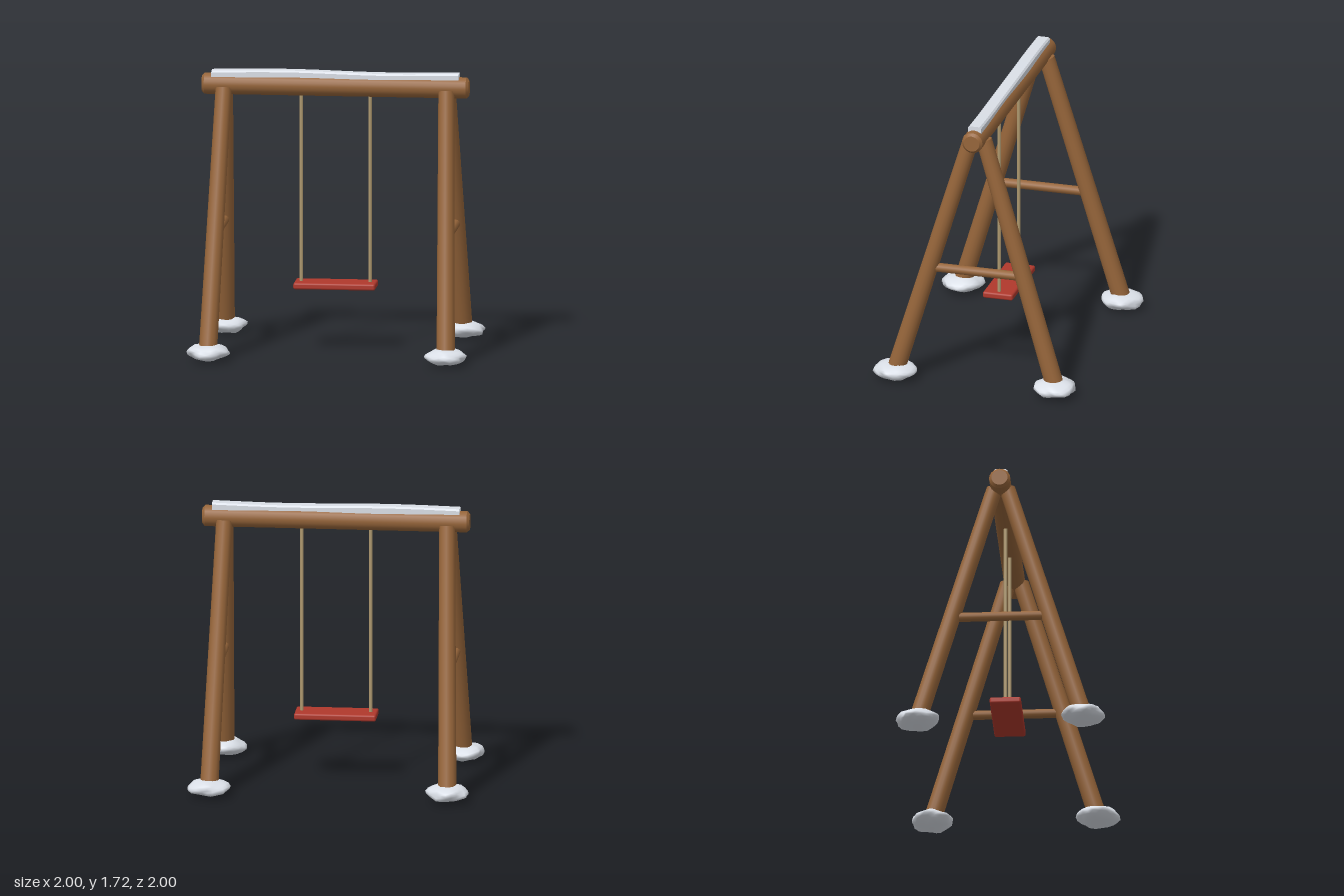
import * as THREE from 'three';
import { mergeVertices } from 'three/addons/utils/BufferGeometryUtils.js';
import { RoundedBoxGeometry } from 'three/addons/geometries/RoundedBoxGeometry.js';

const mat = (name, color) => {
  const m = new THREE.MeshStandardMaterial({ color });
  m.name = name;
  return m;
};

export function createModel() {
  const wood = mat('wood', 0x96653a);
  const snow = mat('snow', 0xdde2ea);
  const red = mat('red paint', 0xb0382c);
  const rope = mat('rope', 0xb09a70);

  const model = new THREE.Group();
  model.name = 'swingSet';
  // The frame stands diagonally: its long axis is local x
  const frame = new THREE.Group();
  frame.name = 'frame';
  frame.rotation.y = Math.PI / 4;
  model.add(frame);

  const add = (name, geometry, material) => {
    const mesh = new THREE.Mesh(geometry, material);
    mesh.name = name;
    frame.add(mesh);
    return mesh;
  };

  // Round pole between two points
  const pole = (name, a, b, ra, rb, material, sides = 16) => {
    const from = new THREE.Vector3(...a), to = new THREE.Vector3(...b);
    const dir = to.clone().sub(from);
    const mesh = add(name, new THREE.CylinderGeometry(rb, ra, dir.length(), sides), material);
    mesh.position.copy(from).add(to).multiplyScalar(0.5);
    mesh.quaternion.setFromUnitVectors(new THREE.Vector3(0, 1, 0), dir.normalize());
    return mesh;
  };

  // Top beam with chamfered ends; doubled points keep the edges crisp
  const L = 0.815, R = 0.065, c = 0.016;
  const profile = [
    [0, -L], [R - c, -L], [R - c, -L], [R, -L + c], [R, -L + c],
    [R, L - c], [R, L - c], [R - c, L], [R - c, L], [0, L],
  ].map(([x, y]) => new THREE.Vector2(x, y));
  const beam = add('topBeam', new THREE.LatheGeometry(profile, 20), wood);
  beam.rotation.z = -Math.PI / 2;
  beam.position.y = 1.625;

  // Lumpy flattened snow mound
  const snowMound = (seed) => {
    let g = new THREE.IcosahedronGeometry(1, 3);
    g.deleteAttribute('normal');
    g.deleteAttribute('uv');
    g = mergeVertices(g, 1e-4);
    const p = g.attributes.position;
    for (let i = 0; i < p.count; i++) {
      const x = p.getX(i), y = p.getY(i), z = p.getZ(i);
      const k = 1 + 0.05 * Math.sin(5 * x + 3 * y + seed) + 0.05 * Math.sin(6 * z - 4 * y + 2 * seed)
        + 0.035 * Math.sin(9 * x - 8 * z + 3 * seed);
      p.setXYZ(i, x * k * 0.127, y * k * 0.05, z * k * 0.127);
    }
    g.computeVertexNormals();
    return g;
  };

  // A-frame legs, their snow mounds and the cross braces
  let seed = 1;
  for (const sx of [-1, 1]) {
    for (const sz of [-1, 1]) {
      pole('leg', [sx * 0.726, 0.05, sz * 0.505], [sx * 0.68, 1.605, sz * 0.04], 0.056, 0.049, wood);
      const mound = add('footSnow', snowMound(seed++ * 1.7), snow);
      mound.position.set(sx * 0.728, 0.056, sz * 0.505);
    }
    pole('crossBrace', [sx * 0.705, 0.745, -0.29], [sx * 0.705, 0.745, 0.29], 0.028, 0.028, wood, 12);
    pole('rope', [sx * 0.21, 0.4, 0], [sx * 0.21, 1.6, 0], 0.011, 0.011, rope, 8);
  }

  // Seat
  const seat = add('seat', new RoundedBoxGeometry(0.5, 0.04, 0.19, 2, 0.012), red);
  seat.position.y = 0.4;

  // Snow lying along the beam, gently uneven on top
  const strip = new THREE.Shape();
  [[-0.042, -0.02], [0.042, -0.02], [0.042, 0.012], [0.032, 0.022], [-0.032, 0.022], [-0.042, 0.012]]
    .forEach(([x, y], i) => (i ? strip.lineTo(x, y) : strip.moveTo(x, y)));
  const stripGeo = new THREE.ExtrudeGeometry(strip, { depth: 1.51, steps: 14, bevelEnabled: false });
  stripGeo.translate(0, 0, -0.755);
  stripGeo.rotateY(Math.PI / 2);
  const sp = stripGeo.attributes.position;
  for (let i = 0; i < sp.count; i++) {
    const x = sp.getX(i);
    if (sp.getY(i) > 0) sp.setY(i, sp.getY(i) - 0.005 * Math.sin(5 * x));
    sp.setZ(i, sp.getZ(i) + 0.002 * Math.sin(7 * x));
  }
  stripGeo.computeVertexNormals();
  add('beamSnow', stripGeo, snow).position.y = 1.69;

  return model;
}
